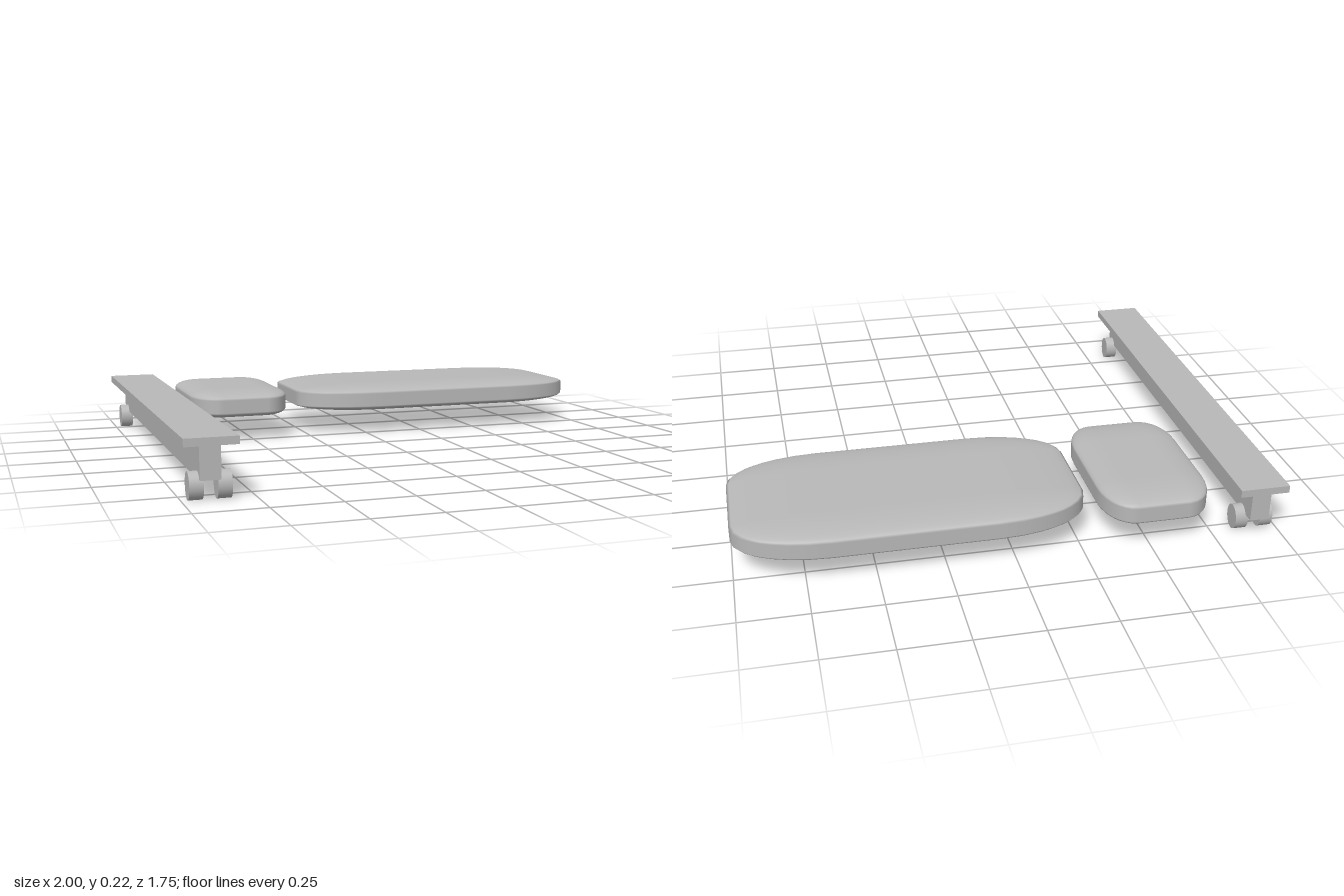
import * as THREE from 'three';
import { RoundedBoxGeometry } from 'three/addons/geometries/RoundedBoxGeometry.js';

export function createModel() {
  const model = new THREE.Group();
  const grey = new THREE.MeshStandardMaterial({ color: 0xb8b8b8 });
  grey.name = 'light grey';

  // Adds a mesh spanning the given ranges, scaled from a unit geometry
  const addPart = (name, geometry, [x0, x1], [y0, y1], [z0, z1], parent = model) => {
    geometry.scale(x1 - x0, y1 - y0, z1 - z0);
    const mesh = new THREE.Mesh(geometry, grey);
    mesh.name = name;
    mesh.position.set((x0 + x1) / 2, (y0 + y1) / 2, (z0 + z1) / 2);
    parent.add(mesh);
  };
  const box = () => new THREE.BoxGeometry(1, 1, 1);
  const cushion = () => new RoundedBoxGeometry(1, 1, 1, 4, 0.27);
  const disc = () => new THREE.CylinderGeometry(0.5, 0.5, 1, 24).rotateZ(Math.PI / 2);

  // Long rail: flat top plank on a narrow beam
  const rail = new THREE.Group();
  rail.name = 'rail';
  model.add(rail);
  addPart('topPlank', box(), [-1, -0.815], [0.188, 0.216], [-0.876, 0.876], rail);
  addPart('beam', box(), [-0.944, -0.872], [0.07, 0.188], [-0.852, 0.852], rail);

  // Twin caster wheels near each end of the beam
  for (const [end, z] of [['front', 0.81], ['back', -0.775]]) {
    for (const [side, x] of [['Right', -0.954], ['Left', -0.858]]) {
      addPart(`${end}${side}Wheel`, disc(), [x - 0.024, x + 0.024], [0, 0.097], [z - 0.04, z + 0.04], rail);
    }
  }

  // Padded headrest and mattress, corners stretched with their lengths
  addPart('headCushion', cushion(), [-0.743, -0.332], [0.088, 0.204], [-0.855, -0.21]);
  addPart('bodyCushion', cushion(), [-0.28, 1], [0.088, 0.204], [-0.855, -0.21]);

  return model;
}
